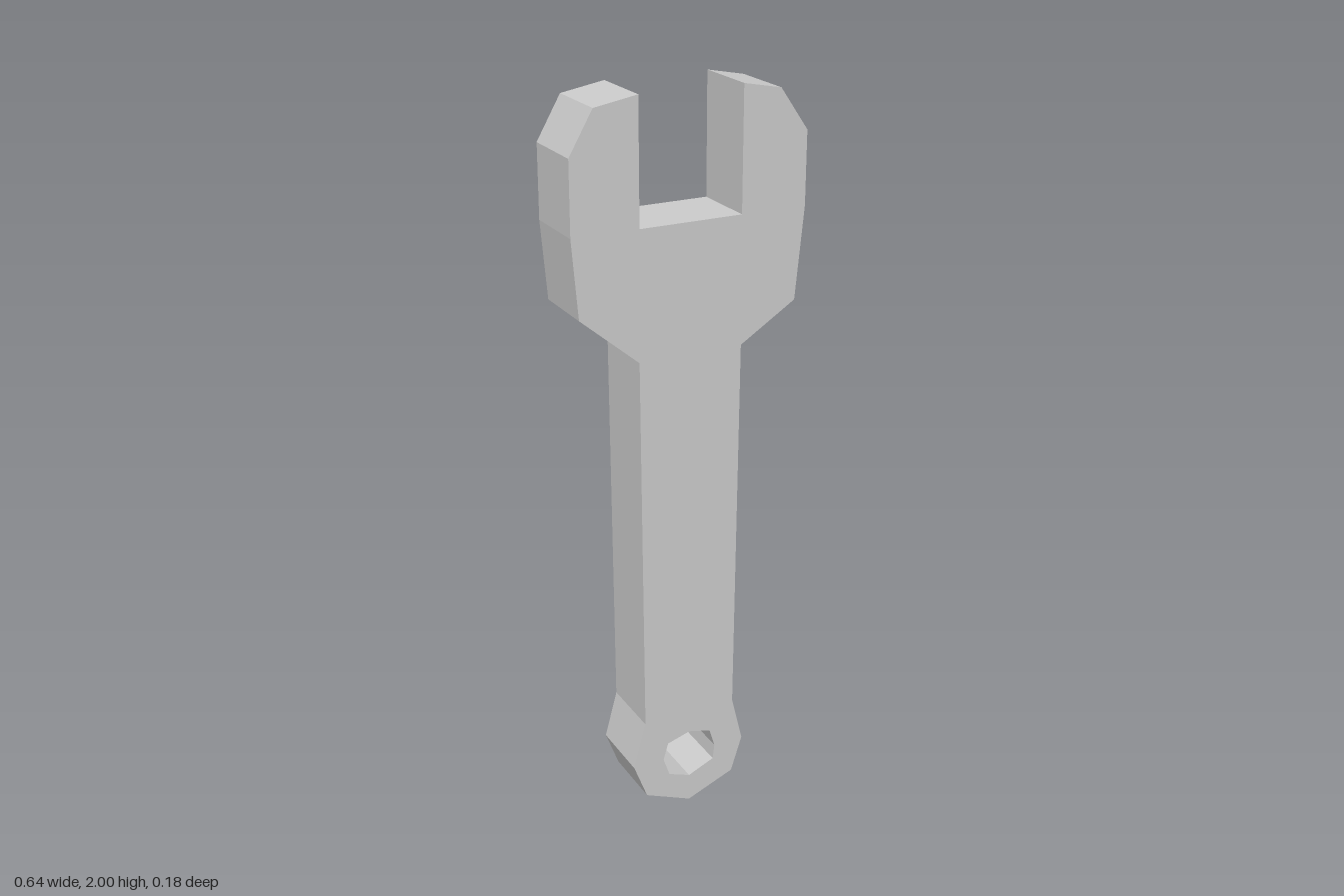
import * as THREE from 'three';

const toPoints = (pairs) => pairs.map(([x, y]) => new THREE.Vector2(x, y));

export function createModel() {
  const group = new THREE.Group();
  group.name = 'wrench';

  // Outline, counter-clockwise from the bottom tip
  const outline = new THREE.Shape(toPoints([
    // rounded handle end and right edge of the handle
    [0, 0], [0.135, 0.055], [0.167, 0.156], [0.135, 0.288], [0.143, 1.34],
    // +x jaw
    [0.297, 1.437], [0.32, 1.68], [0.32, 1.87], [0.243, 1.98], [0.14, 2],
    // square slot
    [0.14, 1.68], [-0.14, 1.68],
    // -x jaw
    [-0.14, 2], [-0.256, 1.98], [-0.32, 1.87], [-0.32, 1.68], [-0.303, 1.475],
    // other edge of the handle
    [-0.143, 1.34], [-0.135, 0.288], [-0.17, 0.156], [-0.132, 0.055],
  ]));

  // Faceted hanging hole
  outline.holes.push(new THREE.Path(toPoints([
    [0, 0.225], [-0.066, 0.205], [-0.08, 0.156], [-0.062, 0.103],
    [0, 0.08], [0.075, 0.113], [0.08, 0.156], [0.064, 0.209],
  ])));

  // Flat plate, centred in depth
  const depth = 0.184;
  const geometry = new THREE.ExtrudeGeometry(outline, { depth, bevelEnabled: false });
  geometry.translate(0, 0, -depth / 2);

  const body = new THREE.Mesh(
    geometry,
    new THREE.MeshStandardMaterial({ color: 0xcccccc, flatShading: true }),
  );
  body.name = 'wrenchBody';
  group.add(body);
  return group;
}
